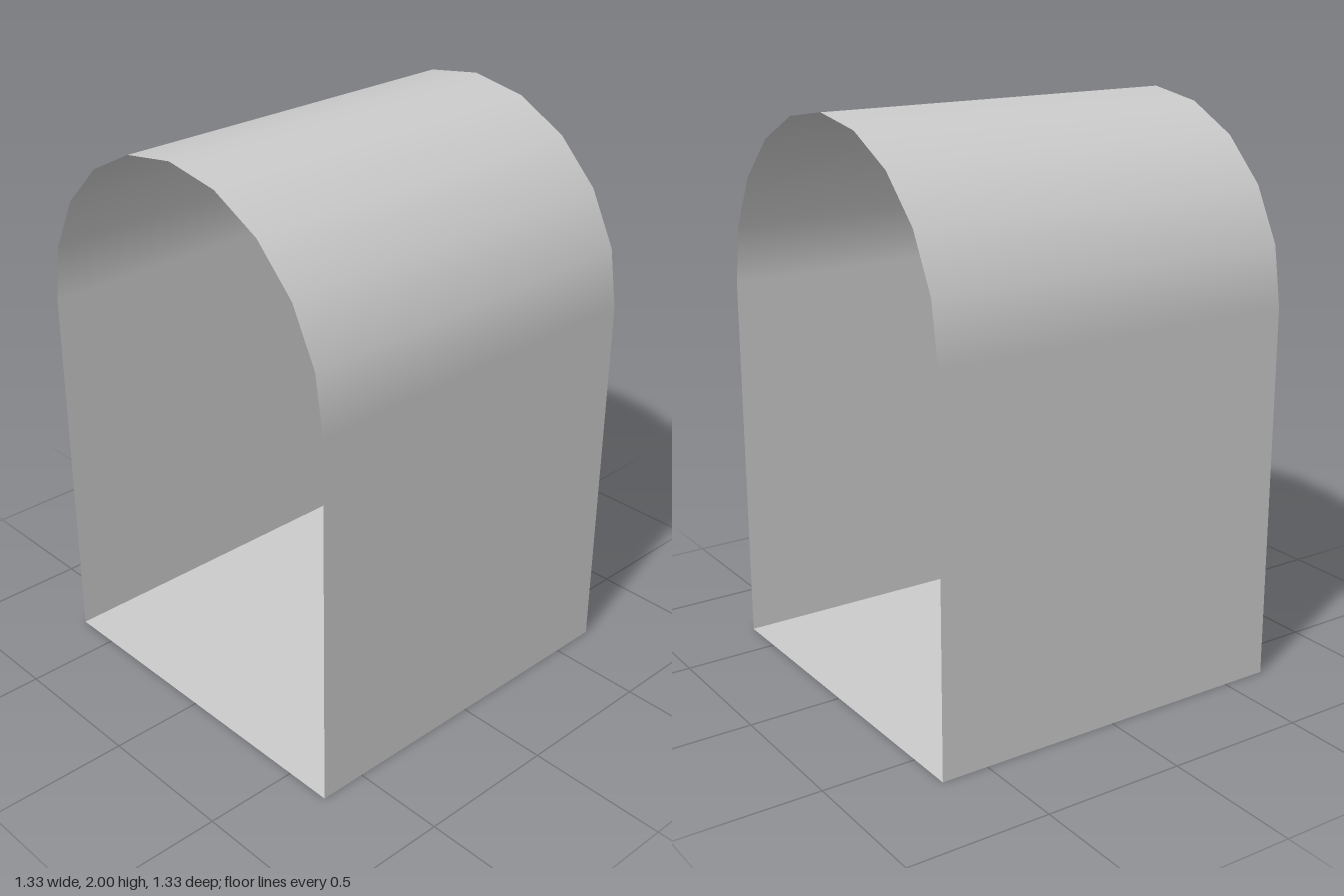
import * as THREE from 'three';

const R = 2 / 3;          // half width, half depth and vault radius
const WALL = 4 / 3;       // wall height up to the spring of the vault

export function createModel() {
  const group = new THREE.Group();
  const material = new THREE.MeshStandardMaterial({ color: 0xcccccc, side: THREE.DoubleSide });

  const add = (name, geometry, x, y) => {
    const mesh = new THREE.Mesh(geometry, material);
    mesh.name = name;
    mesh.position.set(x, y, 0);
    group.add(mesh);
  };

  // floor sheet, facing up
  add('floor', new THREE.PlaneGeometry(2 * R, 2 * R).rotateX(-Math.PI / 2), 0, 0);

  // side walls, facing outwards
  for (const [name, side] of [['leftWall', 1], ['rightWall', -1]]) {
    const wall = new THREE.PlaneGeometry(2 * R, WALL).rotateY(side * Math.PI / 2);
    add(name, wall, side * R, WALL / 2);
  }

  // half-round vault in ten smooth-shaded segments, open at both ends
  const vault = new THREE.CylinderGeometry(R, R, 2 * R, 10, 1, true, Math.PI / 2, Math.PI);
  add('vaultedRoof', vault.rotateX(Math.PI / 2), 0, WALL);

  return group;
}
